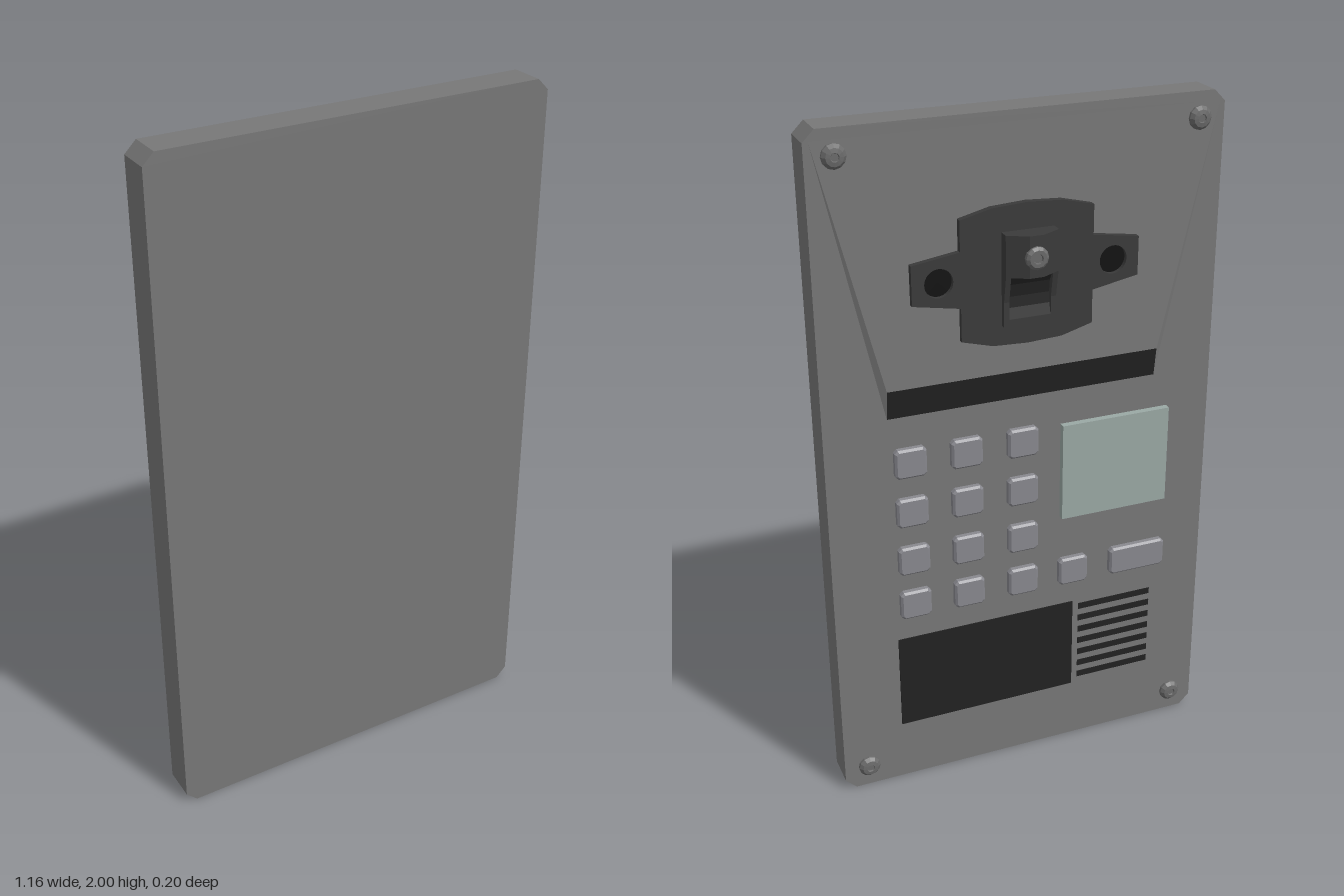
import * as THREE from 'three';

const mat = (color) => new THREE.MeshStandardMaterial({ color, flatShading: true, side: THREE.DoubleSide });

export function createModel() {
  const root = new THREE.Group();
  const body = mat(0x777777), keyMat = mat(0x88888e), dark = mat(0x3a3a3a);
  const black = mat(0x222222), glass = mat(0x9aa8a4), metal = mat(0x6a6a6a);

  const add = (name, geometry, material, x = 0, y = 0, z = 0) => {
    const mesh = new THREE.Mesh(geometry, material);
    mesh.name = name;
    mesh.position.set(x, y, z);
    root.add(mesh);
    return mesh;
  };
  const polygon = (points) => new THREE.Shape(points.map(([x, y]) => new THREE.Vector2(x, y)));
  const extrude = (shape, depth) => new THREE.ExtrudeGeometry(shape, { depth, bevelEnabled: false, curveSegments: 16 });
  const box = (name, w, h, d, material, x, y, z) => add(name, new THREE.BoxGeometry(w, h, d), material, x, y, z);
  // Rectangle with clipped corners
  const clipped = (w, h, c) => polygon([
    [-w + c, -h], [w - c, -h], [w, -h + c], [w, h - c],
    [w - c, h], [-w + c, h], [-w, h - c], [-w, -h + c]]);

  // Housing
  add('housing', extrude(clipped(0.58, 1, 0.032), 0.1), body, 0, 1, 0);

  // Raised hood tapering down to a dark lip, both rising from the housing face
  const surface = (name, points, index, material) => {
    const g = new THREE.BufferGeometry();
    g.setAttribute('position', new THREE.Float32BufferAttribute(points.flat(), 3));
    g.setIndex(index);
    g.computeVertexNormals();
    return add(name, g, material);
  };
  const T = [0.565, 1.97, -0.001], M = [0.4, 1.285, -0.013], B = [0.4, 1.2, -0.001];
  const flip = ([x, y, z]) => [-x, y, z];
  surface('hood', [T, M, B, flip(T), flip(M), flip(B)],
    [0, 1, 4, 0, 4, 3, 0, 2, 1, 3, 4, 5], body);
  surface('hoodLip', [M, B, flip(B), flip(M)], [0, 1, 2, 0, 2, 3], black);

  // Corner screws
  const screwProfile = [[0.033, 0], [0.033, 0.008], [0.024, 0.018], [0.012, 0.02], [0.01, 0.016], [0, 0.016]];
  for (const x of [-0.505, 0.505]) for (const y of [0.07, 1.93]) {
    const g = new THREE.LatheGeometry(screwProfile.map(([r, h]) => new THREE.Vector2(r, h)), 12);
    add('screw', g.rotateX(-Math.PI / 2), metal, x, y, 0);
  }

  // Keypad
  const key = (name, w, x, y) => {
    const b = 0.006;
    const g = new THREE.ExtrudeGeometry(clipped(w / 2 - b, 0.044 - b, 0.006),
      { depth: 0.014, bevelThickness: b, bevelSize: b, bevelSegments: 1 });
    add(name, g, keyMat, x, y, -0.016);
  };
  const rows = [1.065, 0.912, 0.758, 0.612];
  for (const y of rows) for (const x of [0.342, 0.178, 0.01]) key('key', 0.092, x, y);
  key('key', 0.092, -0.15, rows[3]);
  key('wideKey', 0.18, -0.36, rows[3]);

  // Display, dark window and speaker slots
  box('display', 0.335, 0.3, 0.02, glass, -0.278, 0.945, -0.01);
  box('windowPanel', 0.553, 0.3, 0.006, black, 0.12, 0.341, 0);
  for (let i = 0; i < 7; i++) box('speakerSlot', 0.24, 0.02, 0.004, black, -0.296, 0.468 - i * 0.0415, 0);

  // Mounting plate with two ears
  const half = [[0, 1.37], [0.1, 1.375], [0.19, 1.4], [0.19, 1.495], [0.325, 1.52],
    [0.325, 1.63], [0.19, 1.65], [0.19, 1.735], [0.1, 1.757], [0, 1.763]];
  const plate = polygon([...half, ...half.slice(1, -1).reverse().map(([x, y]) => [-x, y])]);
  for (const x of [-0.25, 0.25]) {
    plate.holes.push(new THREE.Path().absarc(x, 1.573, 0.04, 0, Math.PI * 2, true));
    add('earHole', new THREE.CylinderGeometry(0.042, 0.042, 0.006, 16).rotateX(Math.PI / 2), mat(0x111111), x, 1.573, -0.008);
  }
  add('mountPlate', extrude(plate, 0.024), dark, 0, 0, -0.024);

  // Ridged block above the chute
  const roof = polygon([[-0.075, 0], [0.075, 0], [0.075, 0.055], [0.02, 0.085], [-0.02, 0.085], [-0.075, 0.055]]);
  add('block', extrude(roof, 0.115).rotateX(-Math.PI / 2), dark, 0, 1.575, 0);

  // Chute: tapering side rails, bottom bar and a hollowed floor
  const rail = polygon([[0, 1.43], [0.04, 1.43], [0.04, 1.5], [0.055, 1.575], [0, 1.575]]);
  for (const x of [-0.075, 0.06]) add('chuteRail', extrude(rail, 0.015).rotateY(Math.PI / 2), dark, x, 0, 0);
  box('chuteBar', 0.15, 0.02, 0.04, dark, 0, 1.44, -0.02);
  const scoop = polygon([[0, 1.45], [0.038, 1.45], [0.03, 1.48], [0.027, 1.51], [0.032, 1.545], [0.05, 1.575], [0, 1.575]]);
  add('chuteFloor', extrude(scoop, 0.12).rotateY(Math.PI / 2), black, -0.06, 0, 0);

  // Round knob on the block
  const knob = [[0.032, 0], [0.032, 0.012], [0.024, 0.019], [0.014, 0.019], [0.012, 0.013], [0, 0.013]];
  add('knob', new THREE.LatheGeometry(knob.map(([r, h]) => new THREE.Vector2(r, h)), 12).rotateX(-Math.PI / 2),
    metal, 0, 1.63, -0.079);

  // Turn the rails' outward direction to the rear
  root.traverse((o) => {
    if (o.name === 'chuteRail' || o.name === 'chuteFloor') o.updateMatrix();
  });
  return root;
}
